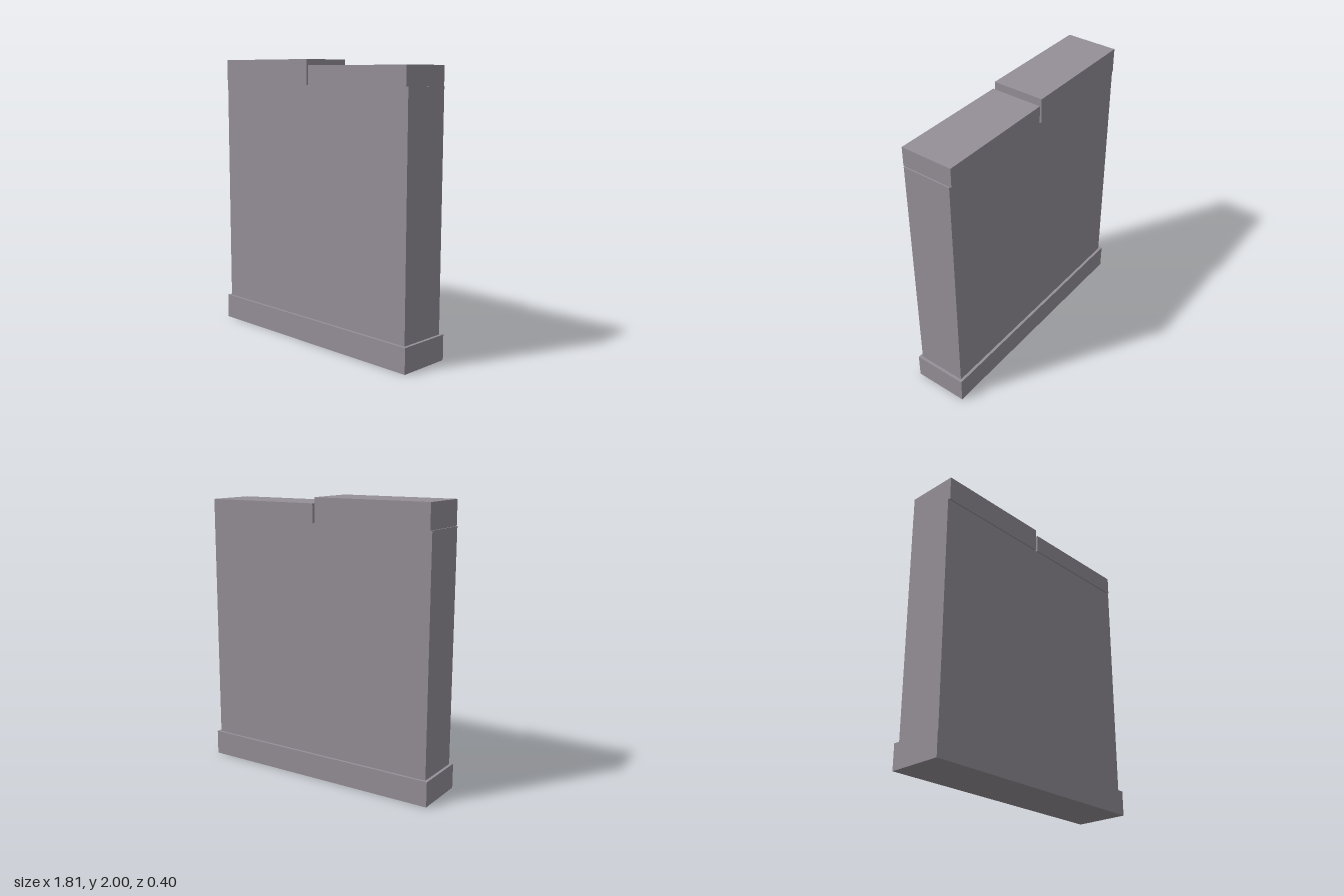
import * as THREE from 'three';

export function createModel() {
  const group = new THREE.Group();
  const stone = new THREE.MeshStandardMaterial({ color: 0x958f97 });
  stone.name = 'greyStone';

  // Box block spanning x0..x1 and y0..y1, centred on z
  const block = (name, x0, x1, y0, y1, depth) => {
    const mesh = new THREE.Mesh(new THREE.BoxGeometry(x1 - x0, y1 - y0, depth), stone);
    mesh.name = name;
    mesh.position.set((x0 + x1) / 2, (y0 + y1) / 2, 0);
    group.add(mesh);
  };

  // Plinth and wall body
  block('plinth', -0.907, 0.907, 0, 0.178, 0.396);
  block('wall', -0.886, 0.886, 0.178, 1.825, 0.356);

  // Two coping stones of unequal height with a narrow gap between
  block('rightCoping', -0.877, -0.009, 1.825, 2, 0.376);
  block('leftCoping', 0.009, 0.877, 1.825, 1.958, 0.376);

  return group;
}
